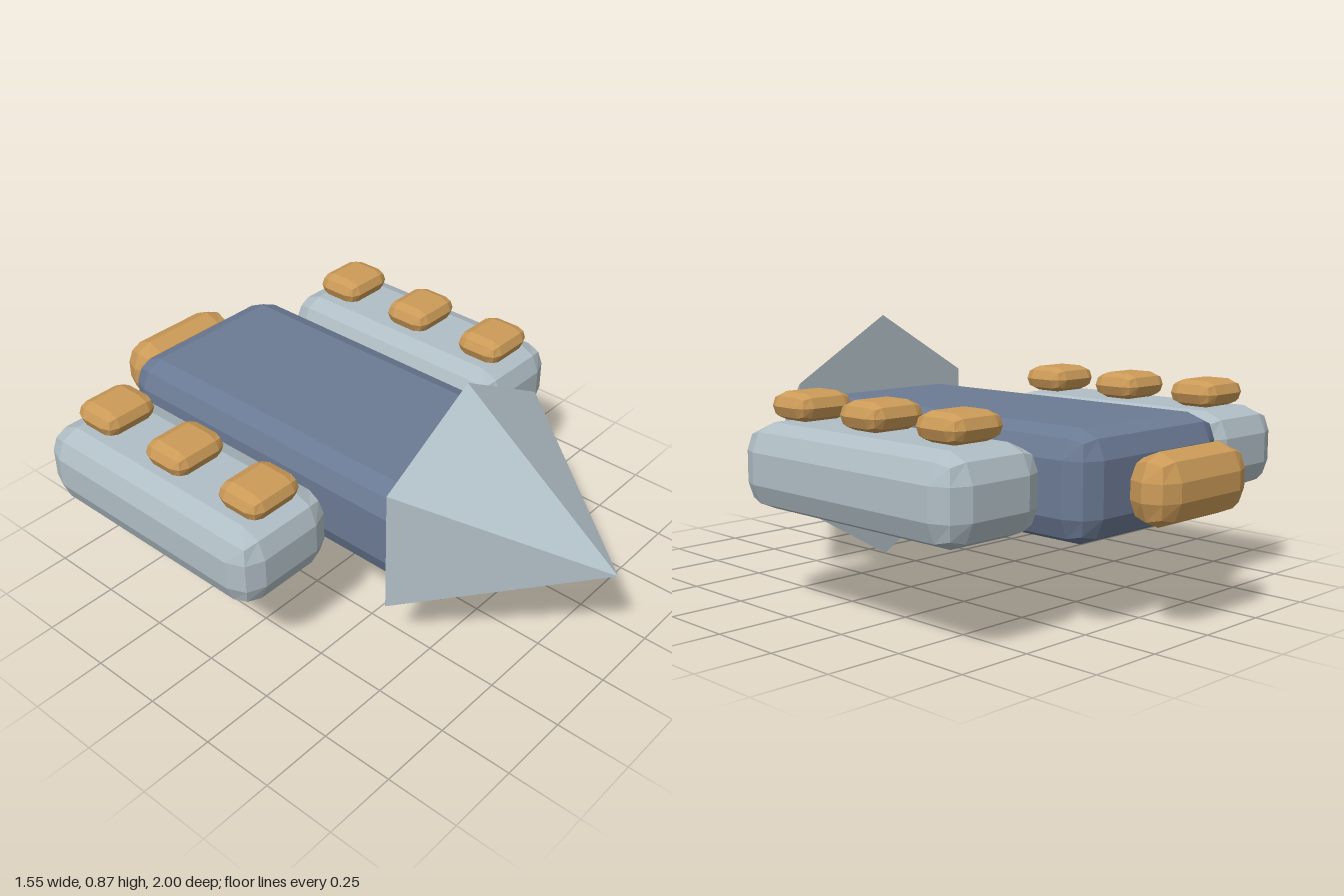
import * as THREE from 'three';
import { RoundedBoxGeometry } from 'three/addons/geometries/RoundedBoxGeometry.js';

function material(name, color) {
  const m = new THREE.MeshStandardMaterial({ color, flatShading: true });
  m.name = name;
  return m;
}

export function createModel() {
  const model = new THREE.Group();
  model.name = 'spacecraft';
  const paleGrey = material('paleGrey', 0xb0bec5);
  const slateBlue = material('slateBlue', 0x6b7a94);
  const amber = material('amber', 0xcc9b58);

  // Box with a two-facet bevel on every edge
  function block(name, mat, size, radius, position) {
    const mesh = new THREE.Mesh(new RoundedBoxGeometry(...size, 1, radius), mat);
    mesh.name = name;
    mesh.position.set(...position);
    model.add(mesh);
  }

  // Hull, running a little way into the nose
  block('hull', slateBlue, [0.675, 0.338, 1.29], 0.085, [0, 0.434, -0.167]);

  // Six-sided pointed nose
  const coneGeometry = new THREE.ConeGeometry(0.433, 0.587, 6);
  coneGeometry.rotateX(Math.PI / 2);
  const nose = new THREE.Mesh(coneGeometry, paleGrey);
  nose.name = 'nose';
  nose.position.set(0, 0.433, 0.7065);
  model.add(nose);

  // Side pods, each with three lights on top
  for (const [side, sign] of [['left', 1], ['right', -1]]) {
    block(side + 'Pod', paleGrey, [0.39, 0.27, 0.945], 0.085, [sign * 0.58, 0.443, -0.257]);
    for (let i = 0; i < 3; i++) {
      block(side + 'PodLight' + (i + 1), amber, [0.212, 0.088, 0.178], 0.044,
        [sign * 0.579, 0.626, 0.086 - i * 0.326]);
    }
  }

  // Engine block floating behind the hull
  block('rearEngine', amber, [0.445, 0.218, 0.16], 0.08, [0, 0.436, -0.92]);

  return model;
}
